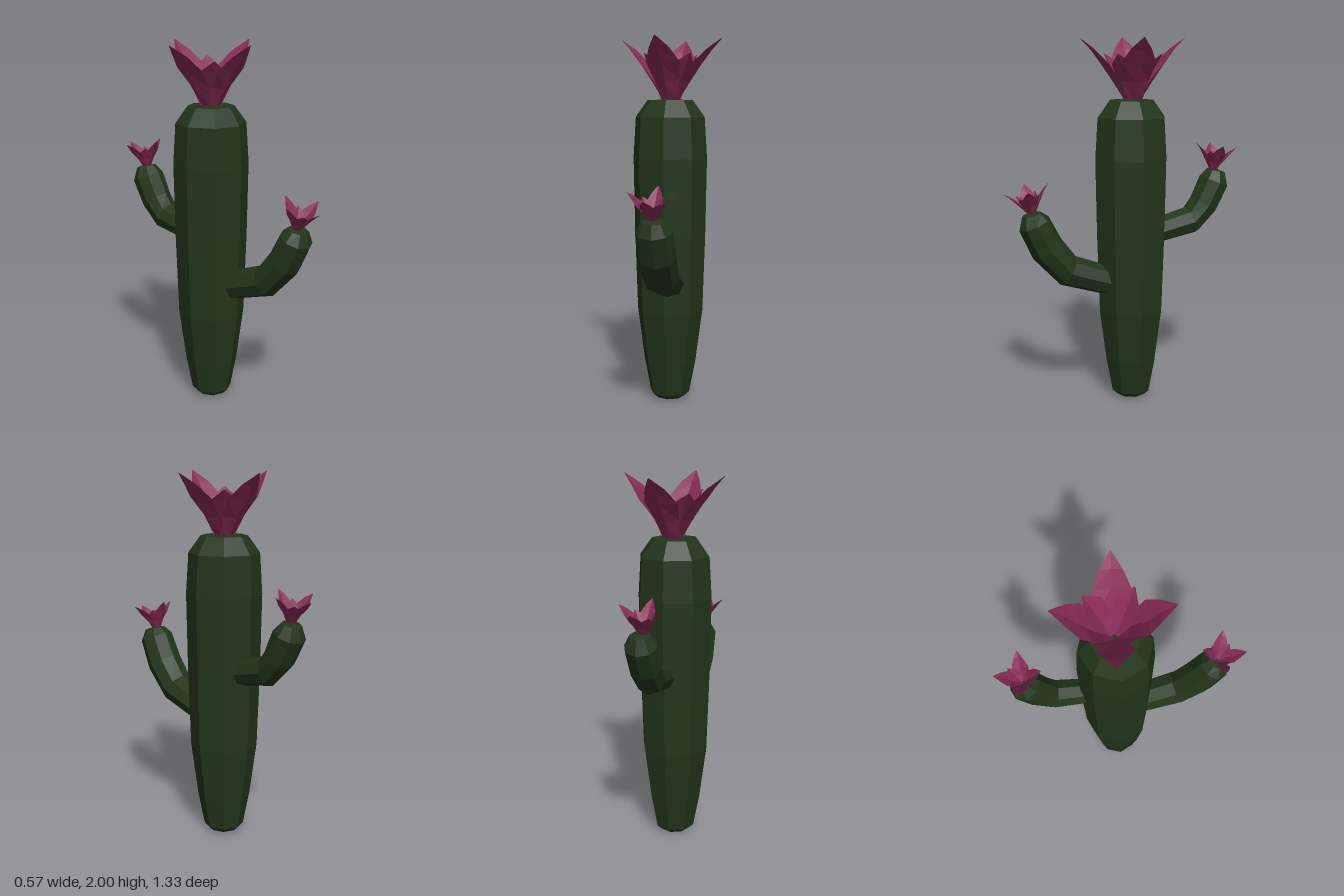
import * as THREE from 'three';

const green = new THREE.MeshStandardMaterial({ color: 0x22351a, flatShading: true });
const pink = new THREE.MeshStandardMaterial({ color: 0x862a55, flatShading: true, side: THREE.DoubleSide });
const SIDES = 8;

// Triangulates a grid of points (rows x cols) into a faceted geometry.
function gridGeometry(rows) {
  const pos = [], index = [], cols = rows[0].length;
  rows.forEach(row => row.forEach(p => pos.push(p.x, p.y, p.z)));
  for (let i = 0; i < rows.length - 1; i++) {
    for (let j = 0; j < cols - 1; j++) {
      const a = i * cols + j, b = a + 1, c = a + cols, d = c + 1;
      index.push(a, b, d, a, d, c);
    }
  }
  const g = new THREE.BufferGeometry();
  g.setAttribute('position', new THREE.Float32BufferAttribute(pos, 3));
  g.setIndex(index);
  const flat = g.toNonIndexed();
  flat.computeVertexNormals();
  return flat;
}

// Octagonal stem through sections [z, y, radius], bending in the zy plane.
function stem(name, x, sections, widen = 1) {
  const centres = sections.map(([z, y]) => new THREE.Vector3(x, y, z));
  const u = new THREE.Vector3(1, 0, 0);
  const rows = sections.map(([, , r], i) => {
    const before = centres[Math.max(i - 1, 0)];
    const after = centres[Math.min(i + 1, centres.length - 1)];
    const v = after.clone().sub(before).normalize().cross(u);
    return Array.from({ length: SIDES + 1 }, (_, j) => {
      const a = (j % SIDES) / SIDES * Math.PI * 2;
      return centres[i].clone()
        .addScaledVector(u, r * widen * Math.cos(a))
        .addScaledVector(v, r * Math.sin(a));
    });
  });
  const mesh = new THREE.Mesh(gridGeometry(rows), green);
  mesh.name = name;
  return mesh;
}

// Cupped petal from rows [distance out, height, half width, cup].
function petalGeometry(rows) {
  return gridGeometry(rows.map(([r, y, w, cup]) => [-1, 0, 1].map(s =>
    new THREE.Vector3(r - Math.abs(s) * cup, y + Math.abs(s) * cup * 0.5, s * w))));
}

const outerPetal = petalGeometry([
  [0.04, 0, 0.045, 0.01], [0.105, 0.1, 0.07, 0.025],
  [0.17, 0.195, 0.092, 0.02], [0.225, 0.27, 0.055, 0.01], [0.285, 0.333, 0.003, 0],
]);
const innerPetal = petalGeometry([
  [0.005, 0, 0.02, 0], [0.065, 0.08, 0.055, 0.015],
  [0.13, 0.185, 0.068, 0.02], [0.172, 0.25, 0.003, 0],
]);

// Flower with four long outer petals and four short inner ones.
function flower(name, x, y, z, scale, tilt) {
  const group = new THREE.Group();
  group.name = name;
  for (let i = 0; i < 8; i++) {
    const inner = i % 2 === 1;
    const petal = new THREE.Mesh(inner ? innerPetal : outerPetal, pink);
    petal.name = inner ? 'innerPetal' : 'outerPetal';
    petal.rotation.y = i * Math.PI / 4 - (inner ? 0 : 0.13);
    group.add(petal);
  }
  group.position.set(x, y, z);
  group.rotation.x = tilt;
  group.scale.setScalar(scale);
  return group;
}

export function createModel() {
  const model = new THREE.Group();
  model.name = 'cactus';

  // Trunk
  const tz = -0.04;
  model.add(stem('trunk', -0.005, [
    [tz, 0, 0], [tz, 0.008, 0.08], [tz, 0.035, 0.11], [tz, 0.22, 0.145], [tz, 0.51, 0.183],
    [tz, 0.95, 0.197], [tz, 1.36, 0.204], [tz, 1.58, 0.19], [tz, 1.67, 0.125], [tz, 1.675, 0],
  ]));

  // Arms
  model.add(stem('frontArm', 0.01, [
    [0.04, 0.67, 0], [0.05, 0.672, 0.078], [0.327, 0.765, 0.088], [0.44, 0.895, 0.092],
    [0.508, 1.035, 0.087], [0.522, 1.085, 0.053], [0.524, 1.095, 0],
  ], 1.1));
  model.add(stem('backArm', 0.013, [
    [-0.11, 0.935, 0], [-0.12, 0.937, 0.068], [-0.385, 1.0, 0.08], [-0.46, 1.085, 0.084],
    [-0.522, 1.212, 0.087], [-0.536, 1.27, 0.053], [-0.538, 1.28, 0],
  ], 1.0));

  // Flowers
  model.add(flower('topFlower', 0, 1.665, -0.045, 1, 0));
  model.add(flower('frontFlower', 0.002, 1.085, 0.515, 0.43, 0.23));
  model.add(flower('backFlower', 0.002, 1.272, -0.52, 0.43, -0.15));
  return model;
}
